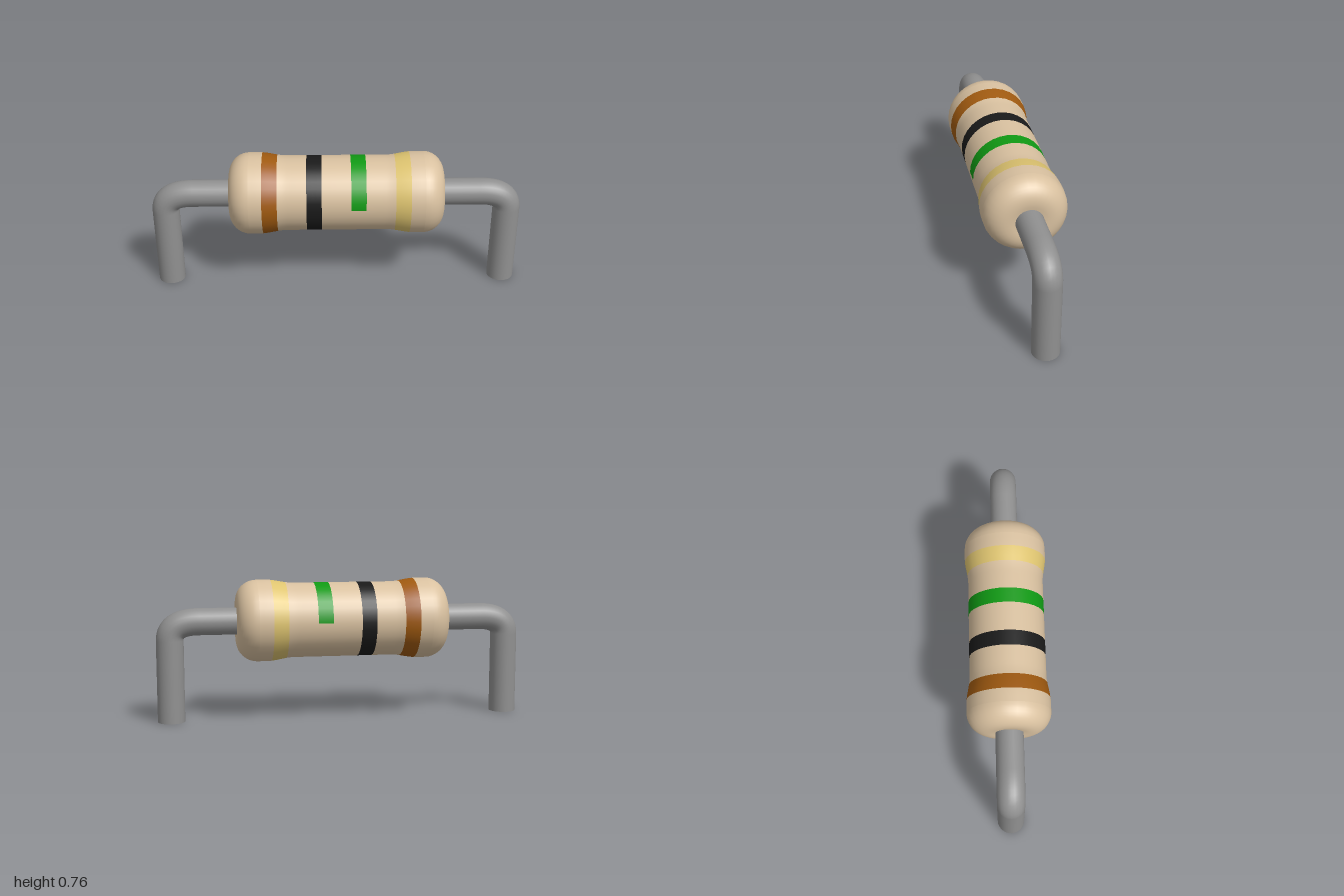
import * as THREE from 'three';

const AXIS_Y = 0.538;
const SIDES = 32;
const WIRE_R = 0.073;

const material = (color) => new THREE.MeshStandardMaterial({ color });

// Radius of the body at a distance x from its middle
function bodyRadius(x) {
  const a = Math.abs(x);
  if (a > 0.465) return 0.11 + Math.sqrt(Math.max(0, 0.11 ** 2 - (a - 0.465) ** 2));
  return 0.202 + 0.018 * THREE.MathUtils.smoothstep(a, 0.27, 0.41);
}

// Slice of the body between two x positions, as a lathe laid along x
function bodySlice(name, x0, x1, mat, phiStart = 0, phiLength = Math.PI * 2) {
  const points = [];
  const steps = Math.max(1, Math.ceil((x1 - x0) / 0.03));
  for (let i = 0; i <= steps; i++) {
    const x = THREE.MathUtils.lerp(x0, x1, i / steps);
    points.push(new THREE.Vector2(bodyRadius(x), x));
  }
  const sides = Math.round(SIDES * phiLength / (Math.PI * 2));
  const mesh = new THREE.Mesh(new THREE.LatheGeometry(points, sides, phiStart, phiLength), mat);
  mesh.name = name;
  mesh.rotation.z = -Math.PI / 2;
  return mesh;
}

// Rounded end from the shoulder to the flat face around the wire
function bodyEnd(side, mat) {
  const points = [];
  for (let i = 0; i <= 10; i++) {
    const t = (i / 10) * Math.PI / 2;
    points.push(new THREE.Vector2(0.11 + 0.11 * Math.cos(t), 0.465 + 0.11 * Math.sin(t)));
  }
  points.push(new THREE.Vector2(0.09, 0.575), new THREE.Vector2(0.06, 0.57));
  const mesh = new THREE.Mesh(new THREE.LatheGeometry(points, SIDES), mat);
  mesh.name = side > 0 ? 'leftBodyEnd' : 'rightBodyEnd';
  mesh.rotation.z = -side * Math.PI / 2;
  return mesh;
}

// Bent wire: straight out of the body, round the corner, down to the ground
function lead(side, mat) {
  const group = new THREE.Group();
  group.name = side > 0 ? 'leftLead' : 'rightLead';
  const add = (name, geometry) => {
    const mesh = new THREE.Mesh(geometry, mat);
    mesh.name = name;
    group.add(mesh);
    return mesh;
  };
  const v = (x, y) => new THREE.Vector3(side * x, y, 0);
  const outX = 1 - WIRE_R, bendX = 0.775, bendY = 0.44;

  const straight = add('leadOut', new THREE.CylinderGeometry(WIRE_R, WIRE_R, bendX - 0.55, 24, 1, true));
  straight.rotation.z = Math.PI / 2;
  straight.position.set(side * (bendX + 0.55) / 2, AXIS_Y, 0);

  const curve = new THREE.QuadraticBezierCurve3(v(bendX, AXIS_Y), v(outX, AXIS_Y), v(outX, bendY));
  add('leadBend', new THREE.TubeGeometry(curve, 12, WIRE_R, 24));

  const leg = add('leadLeg', new THREE.CylinderGeometry(WIRE_R, WIRE_R, bendY, 24));
  leg.position.set(side * outX, bendY / 2, 0);
  return group;
}

export function createModel() {
  const model = new THREE.Group();
  model.name = 'resistor';
  const tan = material(0xd9c1a0);
  const wire = material(0x909090);

  const body = new THREE.Group();
  body.name = 'body';
  body.position.y = AXIS_Y;
  model.add(body);

  // Colour bands; the green one covers only the upper half
  const bands = [
    { name: 'brownBand', x0: -0.395, x1: -0.315, color: 0xa05a10 },
    { name: 'blackBand', x0: -0.16, x1: -0.08, color: 0x1a1a1a },
    { name: 'greenBand', x0: 0.075, x1: 0.155, color: 0x109a14, half: true },
    { name: 'goldBand', x0: 0.31, x1: 0.39, color: 0xdec470 },
  ];
  let x = -0.465;
  for (const b of bands) {
    body.add(bodySlice('bodySection', x, b.x0, tan));
    if (b.half) {
      body.add(bodySlice(b.name, b.x0, b.x1, material(b.color), Math.PI, Math.PI));
      body.add(bodySlice('bodyUnderBand', b.x0, b.x1, tan, 0, Math.PI));
    } else {
      body.add(bodySlice(b.name, b.x0, b.x1, material(b.color)));
    }
    x = b.x1;
  }
  body.add(bodySlice('bodySection', x, 0.465, tan));

  for (const side of [-1, 1]) {
    body.add(bodyEnd(side, tan));
    model.add(lead(side, wire));
  }
  return model;
}
